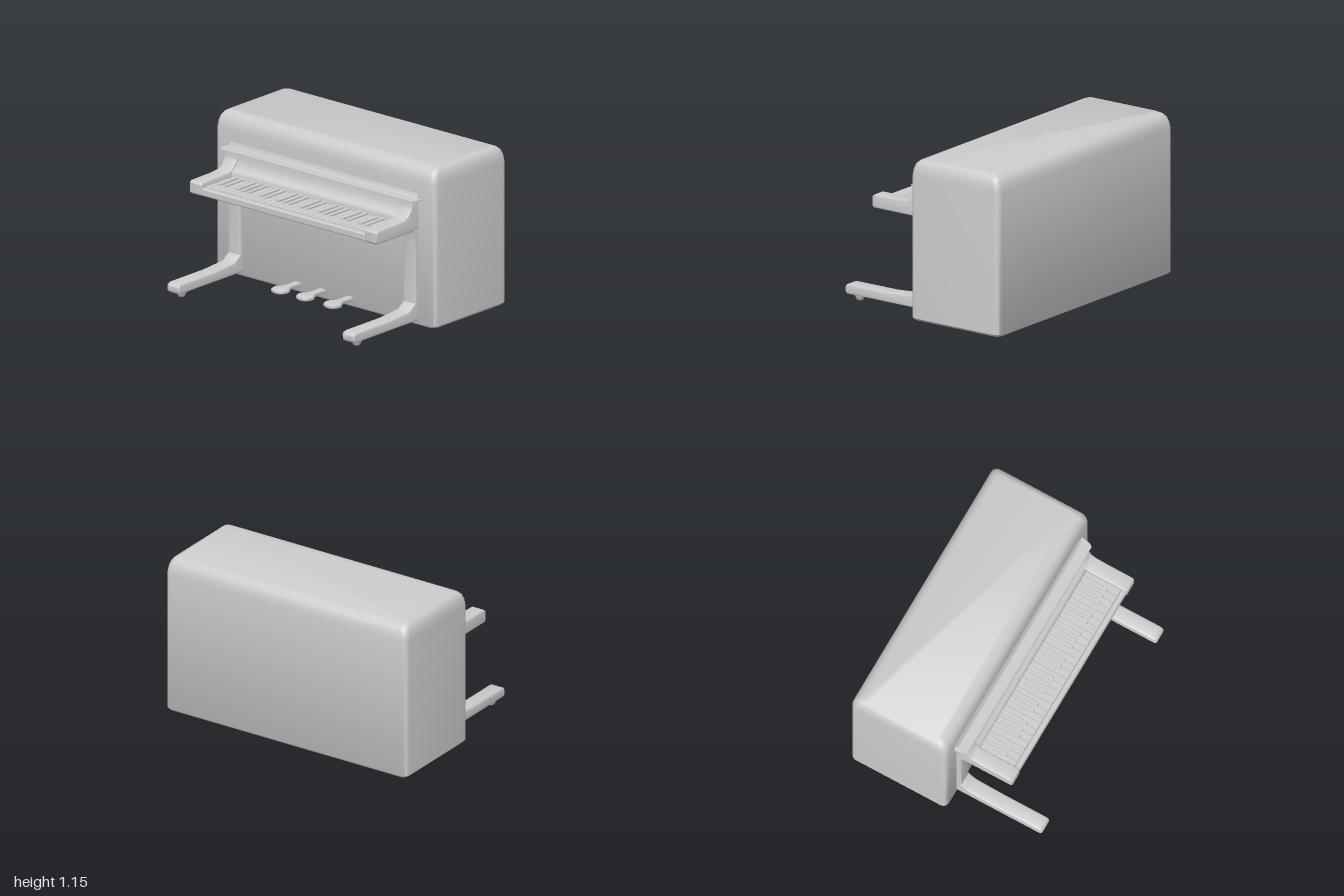
import * as THREE from 'three';
import { toCreasedNormals } from 'three/addons/utils/BufferGeometryUtils.js';
import { RoundedBoxGeometry } from 'three/addons/geometries/RoundedBoxGeometry.js';

const material = new THREE.MeshStandardMaterial({ color: 0xcccccc });

function add(parent, name, geometry, x = 0, y = 0, z = 0) {
  const mesh = new THREE.Mesh(geometry, material);
  mesh.name = name;
  mesh.position.set(x, y, z);
  parent.add(mesh);
  return mesh;
}

const shapeOf = (points) => new THREE.Shape(points.map(([a, b]) => new THREE.Vector2(a, b)));

// Extrudes a shape to an exact thickness, with the bevel kept inside the outline.
function slab(shape, thickness, bevel) {
  const g = new THREE.ExtrudeGeometry(shape, {
    depth: thickness - 2 * bevel, bevelEnabled: bevel > 0, bevelThickness: bevel,
    bevelSize: bevel, bevelOffset: -bevel, bevelSegments: 3, curveSegments: 8,
  });
  return g.translate(0, 0, bevel - thickness / 2);
}

// Side profile given as [z, y] points, extruded across x.
const sideProfile = (points, width, bevel) =>
  toCreasedNormals(slab(shapeOf(points), width, bevel).rotateY(-Math.PI / 2), 0.7);

// Plan outline given as [x, z] points, extruded in y.
const planSlab = (points, height, bevel) =>
  toCreasedNormals(slab(shapeOf(points.map(([x, z]) => [x, -z])), height, bevel).rotateX(-Math.PI / 2), 0.7);

// Cabinet: rounded rectangles stacked upward, [y, half width, half depth, corner radius].
function cabinetGeometry() {
  const levels = [
    [0, 0.965, 0.35, 0.03], [0.006, 0.985, 0.367, 0.04], [0.022, 1, 0.378, 0.045],
    [1.04, 1, 0.378, 0.045], [1.085, 0.995, 0.371, 0.045], [1.12, 0.985, 0.357, 0.045],
    [1.142, 0.97, 0.333, 0.04], [1.155, 0.947, 0.302, 0.035],
  ];
  const steps = 5, ring = 4 * (steps + 1), positions = [], index = [];
  for (const [y, w, d, r] of levels) {
    for (let c = 0; c < 4; c++) {
      const sx = c === 0 || c === 3 ? 1 : -1, sz = c < 2 ? 1 : -1;
      for (let s = 0; s <= steps; s++) {
        const a = (c + s / steps) * Math.PI / 2;
        positions.push(sx * (w - r) + r * Math.cos(a), y, sz * (d - r) + r * Math.sin(a));
      }
    }
  }
  for (let l = 0; l < levels.length - 1; l++) {
    for (let i = 0; i < ring; i++) {
      const a = l * ring + i, b = l * ring + (i + 1) % ring;
      index.push(a, a + ring, b, b, a + ring, b + ring);
    }
  }
  // bottom and top caps
  const top = (levels.length - 1) * ring;
  for (let i = 1; i < ring - 1; i++) {
    index.push(0, i, i + 1, top, top + i + 1, top + i);
  }
  const g = new THREE.BufferGeometry();
  g.setAttribute('position', new THREE.Float32BufferAttribute(positions, 3));
  g.setIndex(index);
  return toCreasedNormals(g, 0.75);
}

export function createModel() {
  const model = new THREE.Group();
  model.name = 'uprightPiano';
  add(model, 'cabinet', cabinetGeometry(), 0, 0, -0.333);

  // Cheeks, legs and casters, mirrored
  const cheek = sideProfile([
    [0, 0.695], [0.47, 0.695], [0.482, 0.708], [0.482, 0.775], [0.465, 0.79], [0.27, 0.792],
    [0.18, 0.8], [0.145, 0.822], [0.138, 0.842], [0.12, 0.856], [0.112, 0.88], [0.11, 0.92], [0, 0.92],
  ], 0.11, 0.01);
  const leg = sideProfile([
    [0, 0.04], [0.7, 0.04], [0.714, 0.055], [0.716, 0.09], [0.705, 0.105], [0.685, 0.112],
    [0.34, 0.112], [0.23, 0.12], [0.14, 0.127], [0.115, 0.145], [0.08, 0.17],
    [0.08, 0.6], [0.085, 0.66], [0.096, 0.7], [0, 0.7],
  ], 0.11, 0.012);
  const caster = new THREE.LatheGeometry(
    [[0, 0], [0.02, 0], [0.028, 0.01], [0.03, 0.02], [0.038, 0.03], [0.04, 0.05]]
      .map(([r, y]) => new THREE.Vector2(r, y)), 16);
  for (const [side, s] of [['left', 1], ['right', -1]]) {
    add(model, side + 'Cheek', cheek, s * 0.797);
    add(model, side + 'Leg', leg, s * 0.797);
    add(model, side + 'Caster', caster, s * 0.797, 0, 0.625);
  }

  // Shelf over the keyboard with a small fillet against the cabinet
  add(model, 'shelf', planSlab([
    [-0.89, 0], [0.89, 0], [0.89, 0.06], [0.882, 0.11], [0.865, 0.137],
    [-0.865, 0.137], [-0.882, 0.11], [-0.89, 0.06],
  ], 0.008, 0), 0, 0.922, 0);
  add(model, 'shelfFillet', sideProfile(
    [[0, 0.922], [0.068, 0.922], [0.055, 0.935], [0.048, 0.96], [0, 0.96]], 1.72, 0));

  // Fallboard behind the keys
  add(model, 'fallboard', sideProfile([
    [0, 0.7], [0.163, 0.7], [0.163, 0.785], [0.155, 0.8], [0.135, 0.81],
    [0.115, 0.835], [0.105, 0.87], [0.102, 0.92], [0, 0.92],
  ], 1.5, 0));

  // Key bed with its raised front rail
  add(model, 'keyBed', sideProfile([
    [0.1, 0.697], [0.468, 0.697], [0.475, 0.704], [0.475, 0.742], [0.468, 0.75],
    [0.442, 0.75], [0.438, 0.738], [0.1, 0.738],
  ], 1.5, 0));

  // Four octaves of keys
  const keys = new THREE.Group();
  keys.name = 'keys';
  model.add(keys);
  const pitch = 1.49 / 28;
  const white = new RoundedBoxGeometry(pitch - 0.003, 0.03, 0.275, 1, 0.003);
  const black = new RoundedBoxGeometry(0.028, 0.03, 0.195, 1, 0.004);
  for (let i = 0; i < 28; i++) {
    const x = -0.745 + i * pitch;
    add(keys, 'whiteKey', white, x + pitch / 2, 0.74, 0.298);
    if (![2, 6].includes(i % 7)) add(keys, 'blackKey', black, x + pitch, 0.754, 0.258);
  }

  // Pedals: narrow stem widening to a rounded paddle
  const pedal = planSlab([
    [-0.03, 0], [-0.03, 0.15], [-0.045, 0.18], [-0.063, 0.2], [-0.066, 0.23], [-0.052, 0.265],
    [-0.02, 0.282], [0.02, 0.282], [0.052, 0.265], [0.066, 0.23], [0.063, 0.2],
    [0.045, 0.18], [0.03, 0.15], [0.03, 0],
  ], 0.03, 0.012);
  for (const x of [-0.245, -0.02, 0.23]) add(model, 'pedal', pedal, x, 0.064, 0);

  return model;
}
